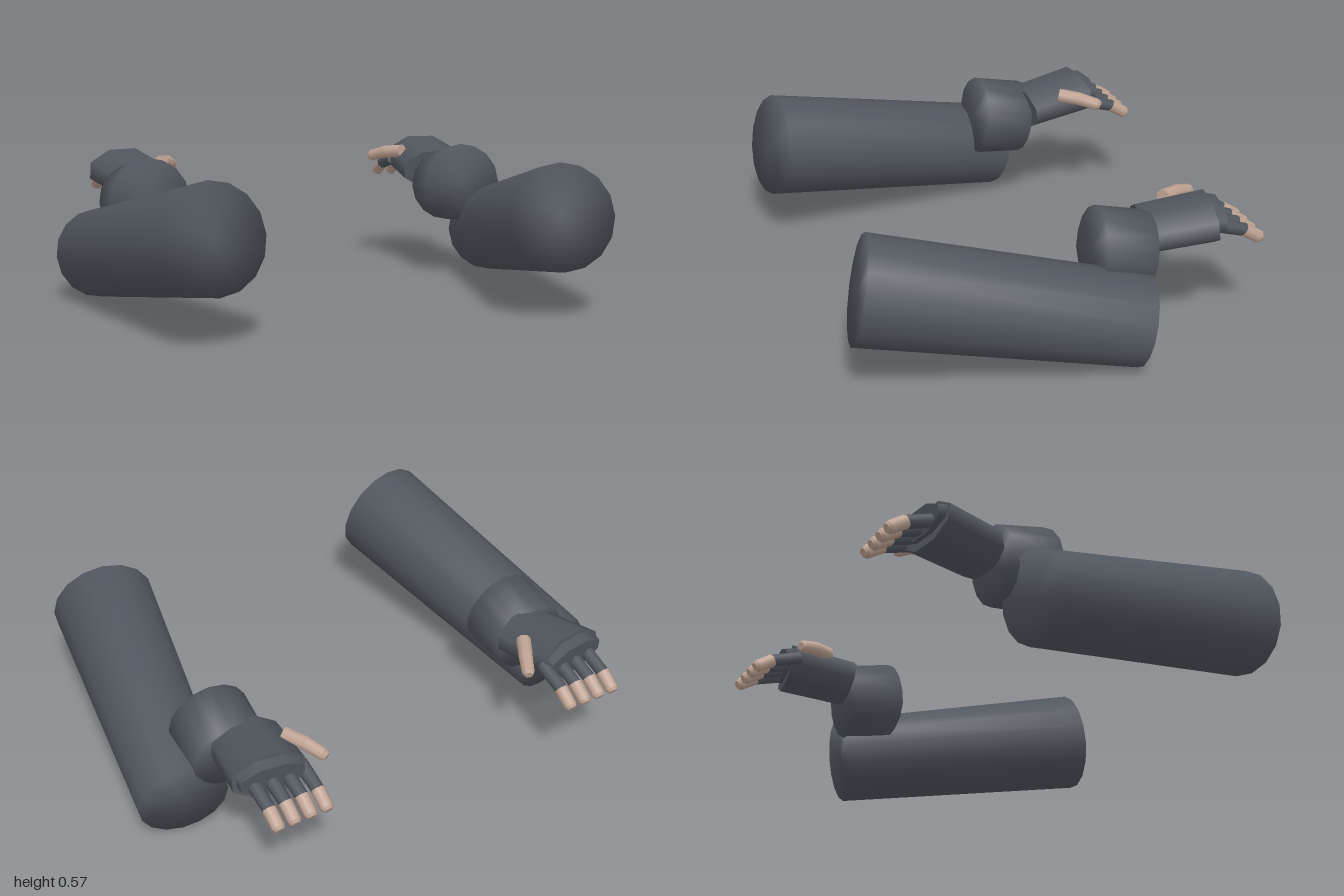
import * as THREE from 'three';
import { mergeVertices } from 'three/addons/utils/BufferGeometryUtils.js';

const V = (x, y, z) => new THREE.Vector3(x, y, z);

// Tapered tube from a to b; flat squashes its height, smooth rounds the shading over the caps
function limb(a, b, r0, r1, { sides = 16, flat = 1, smooth = false, turn = 0 } = {}) {
  const dir = b.clone().sub(a);
  let geo = new THREE.CylinderGeometry(r1, r0, dir.length(), sides, 1, false, turn);
  geo.scale(1, 1, flat);
  const y = dir.normalize();
  const x = y.clone().cross(V(0, 1, 0)).normalize();
  const z = x.clone().cross(y);
  const mid = a.clone().add(b).multiplyScalar(0.5);
  geo.applyMatrix4(new THREE.Matrix4().makeBasis(x, y, z).setPosition(mid));
  if (smooth) {
    geo.deleteAttribute('uv');
    geo.deleteAttribute('normal');
    geo = mergeVertices(geo, 1e-4);
    geo.computeVertexNormals();
  }
  return geo;
}

export function createModel() {
  const model = new THREE.Group();
  model.name = 'pairOfArms';
  const sleeve = new THREE.MeshStandardMaterial({ color: 0x50565d });
  sleeve.name = 'dark sleeve';
  const skin = new THREE.MeshStandardMaterial({ color: 0xbfa393 });
  skin.name = 'skin';

  for (const s of [1, -1]) {
    const arm = new THREE.Group();
    arm.name = s > 0 ? 'leftArm' : 'rightArm';
    model.add(arm);
    const P = (x, y, z) => V(s * x, y, z);
    const add = (name, geo, mat) => {
      const mesh = new THREE.Mesh(geo, mat);
      mesh.name = name;
      arm.add(mesh);
    };

    // Upper arm
    add('upperArm', limb(P(0.655, 0.385, 0.735), P(0.832, 0.175, -0.26), 0.2, 0.17, { smooth: true }), sleeve);

    // Short forearm, its front end trimmed straight below the middle
    const forearm = limb(P(0.652, 0.395, -0.13), P(0.663, 0.362, -0.325), 0.157, 0.147, { smooth: true });
    const pos = forearm.attributes.position;
    for (let i = 0; i < pos.count; i++) pos.setZ(i, Math.min(pos.getZ(i), -0.125));
    forearm.computeVertexNormals();
    add('forearm', forearm, sleeve);

    // Palm, cuff and knuckles
    const oct = { sides: 8, turn: Math.PI / 8 };
    add('palm', limb(P(0.615, 0.423, -0.33), P(0.655, 0.455, -0.585), 0.137, 0.146, { ...oct, flat: 0.6 }), sleeve);
    add('knuckles', limb(P(0.65, 0.465, -0.57), P(0.656, 0.46, -0.615), 0.135, 0.128, { ...oct, flat: 0.45 }), sleeve);

    // Fingers: covered base, bare tip with a rounded end
    for (let i = 0; i < 4; i++) {
      const x = 0.527 + i * 0.0645;
      add('fingerBase', limb(P(x, 0.447, -0.58), P(x, 0.408, -0.705), 0.026, 0.024, oct), sleeve);
      add('fingerTip', limb(P(x, 0.412, -0.695), P(x, 0.373, -0.757), 0.026, 0.025, oct), skin);
      add('fingerEnd', limb(P(x, 0.373, -0.757), P(x, 0.367, -0.767), 0.025, 0.018, oct), skin);
    }

    // Thumb
    add('thumbBase', limb(P(0.522, 0.49, -0.46), P(0.478, 0.48, -0.535), 0.028, 0.027, oct), skin);
    add('thumbTip', limb(P(0.48, 0.481, -0.53), P(0.443, 0.46, -0.6), 0.027, 0.024, oct), skin);
    add('thumbEnd', limb(P(0.443, 0.46, -0.6), P(0.437, 0.456, -0.611), 0.024, 0.016, oct), skin);
  }
  return model;
}
